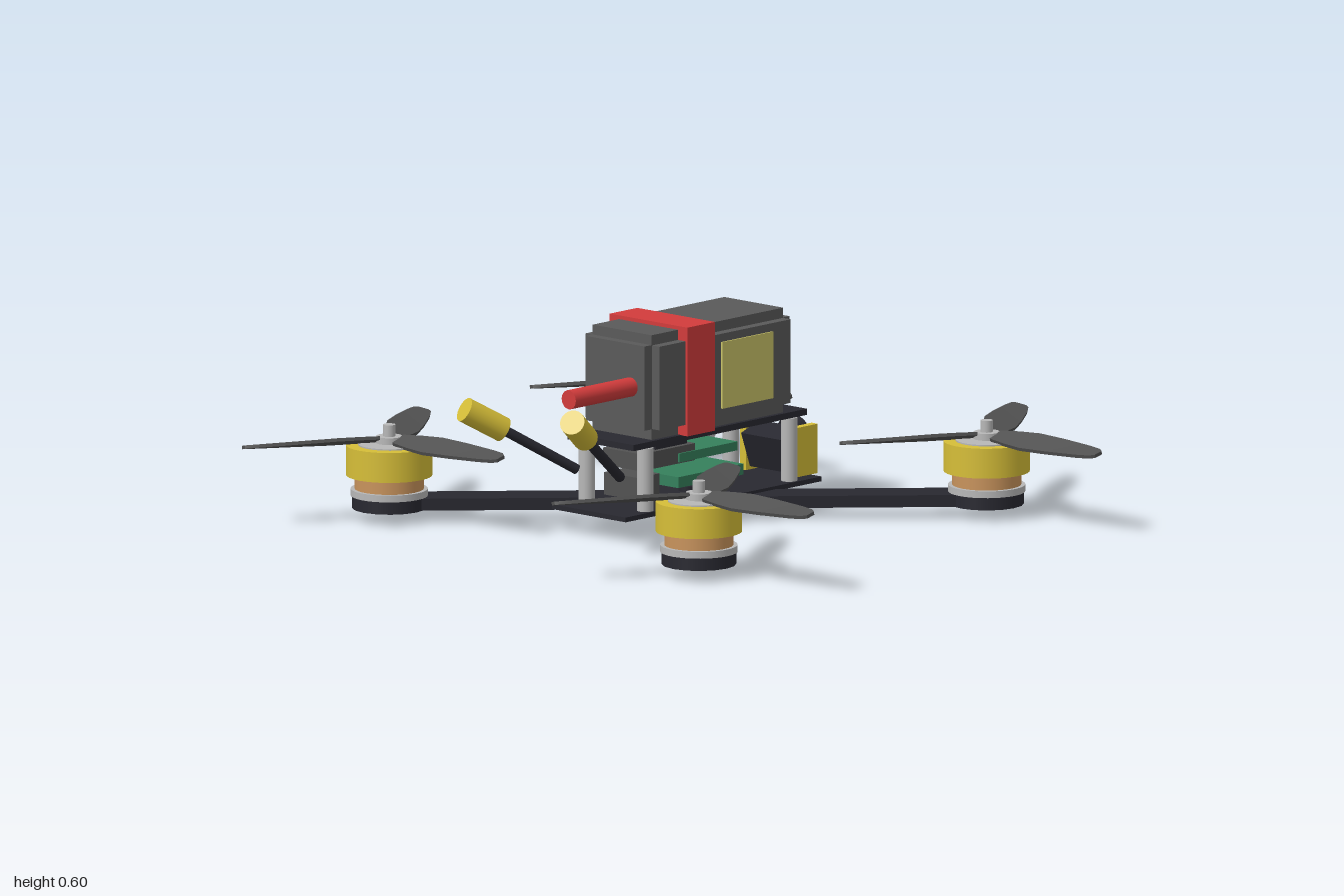
import * as THREE from 'three';

const mat = (name, color) => Object.assign(new THREE.MeshStandardMaterial({ color }), { name });
const M = {
  frame: mat('carbon black', 0x282830),
  grey: mat('battery grey', 0x5a5a5a),
  prop: mat('propeller grey', 0x525252),
  yellow: mat('yellow', 0xd6be38),
  silver: mat('silver', 0xb8b8b8),
  copper: mat('copper', 0xc8935c),
  green: mat('board green', 0x35805c),
  red: mat('strap red', 0xd23c3c),
  label: mat('label pale yellow', 0xcac468),
  lens: mat('lens black', 0x16161c),
};

function add(parent, name, geometry, material, x = 0, y = 0, z = 0) {
  const mesh = new THREE.Mesh(geometry, material);
  mesh.name = name;
  mesh.position.set(x, y, z);
  parent.add(mesh);
  return mesh;
}

// Box given by its y range and z range, centred on x
const slab = (p, name, m, w, y0, y1, z0, z1, x = 0) =>
  add(p, name, new THREE.BoxGeometry(w, y1 - y0, z1 - z0), m, x, (y0 + y1) / 2, (z0 + z1) / 2);

// Upright cylinder from y0 to y1
const post = (p, name, m, r, y0, y1, x = 0, z = 0, sides = 32) =>
  add(p, name, new THREE.CylinderGeometry(r, r, y1 - y0, sides), m, x, (y0 + y1) / 2, z);

// Cylinder between two points
function rod(p, name, m, r, a, b) {
  const from = new THREE.Vector3(...a), to = new THREE.Vector3(...b);
  const dir = to.clone().sub(from);
  const mesh = add(p, name, new THREE.CylinderGeometry(r, r, dir.length(), 20), m);
  mesh.position.copy(from).add(to).multiplyScalar(0.5);
  mesh.quaternion.setFromUnitVectors(new THREE.Vector3(0, 1, 0), dir.normalize());
  return mesh;
}

// Twisted blade: a segmented box whose width and pitch follow the radius
function bladeGeometry() {
  const stations = [[0.035, 0.05], [0.1, 0.076], [0.17, 0.096], [0.27, 0.088], [0.38, 0.068], [0.425, 0.052], [0.44, 0.03]];
  const geo = new THREE.BoxGeometry(1, 0.01, 1, stations.length - 1, 1, 1);
  const pos = geo.attributes.position;
  for (let i = 0; i < pos.count; i++) {
    const k = Math.round((pos.getX(i) + 0.5) * (stations.length - 1));
    const [r, width] = stations[k];
    const pitch = 0.36 - 0.3 * r;
    const w = pos.getZ(i) * width, t = pos.getY(i);
    pos.setXYZ(i, r, t * Math.cos(pitch) - w * Math.sin(pitch), w * Math.cos(pitch) + t * Math.sin(pitch));
  }
  geo.computeVertexNormals();
  return geo;
}

function createMotor(blade) {
  const g = new THREE.Group();
  g.name = 'motor';
  post(g, 'motorPad', M.frame, 0.108, 0.035, 0.072, 0, 0, 16);
  post(g, 'motorBase', M.silver, 0.112, 0.072, 0.092);
  post(g, 'motorWindings', M.copper, 0.1, 0.092, 0.136);
  post(g, 'motorBell', M.yellow, 0.125, 0.132, 0.22);
  post(g, 'motorCap', M.silver, 0.09, 0.219, 0.224);
  post(g, 'motorShaft', M.silver, 0.018, 0.22, 0.28, 0, 0, 16);
  const prop = new THREE.Group();
  prop.name = 'propeller';
  prop.position.y = 0.238;
  post(prop, 'propellerHub', M.prop, 0.038, -0.012, 0.008, 0, 0, 20).material = M.silver;
  for (let i = 0; i < 3; i++) add(prop, 'propellerBlade', blade, M.prop).rotation.y = (i * Math.PI * 2) / 3;
  g.add(prop);
  return g;
}

export function createModel() {
  const model = new THREE.Group();
  model.name = 'quadcopter';
  const body = new THREE.Group();
  body.name = 'body';
  body.position.x = -0.105;
  model.add(body);

  // Crossed arms with a motor at each end
  const blade = bladeGeometry();
  const reach = 0.61;
  for (const s of [1, -1]) {
    add(body, 'arm', new THREE.BoxGeometry(reach * 2 * Math.SQRT2, 0.035, 0.11), M.frame, 0, 0.0535, 0)
      .rotation.y = (s * Math.PI) / 4;
    for (const t of [1, -1]) {
      const motor = createMotor(blade);
      motor.position.set(s * reach, 0, t * reach);
      body.add(motor);
    }
  }

  // Frame plates, standoffs and centre bolt
  slab(body, 'bottomPlate', M.frame, 0.29, 0.066, 0.08, -0.41, 0.42);
  slab(body, 'topPlate', M.frame, 0.26, 0.266, 0.284, -0.365, 0.37);
  for (const x of [-0.115, 0.115])
    for (const z of [-0.305, 0.305]) post(body, 'standoff', M.silver, 0.024, 0.08, 0.266, x, z, 16);
  post(body, 'centreBoltHead', M.frame, 0.048, 0, 0.036, 0, 0, 16);
  post(body, 'centreBolt', M.frame, 0.028, 0.03, 0.096, 0, 0, 16);

  // Electronics stack
  slab(body, 'lowerBoard', M.green, 0.18, 0.118, 0.15, -0.138, 0.138);
  slab(body, 'upperBoard', M.green, 0.16, 0.19, 0.216, -0.125, 0.122);
  slab(body, 'receiver', M.prop, 0.15, 0.186, 0.236, 0.05, 0.28);
  slab(body, 'receiverMount', M.frame, 0.18, 0.245, 0.266, 0.1, 0.235);
  slab(body, 'transmitter', M.prop, 0.13, 0.1, 0.166, 0.19, 0.285);

  // Battery from three crossing boxes, which step its edges
  slab(body, 'batteryWide', M.grey, 0.292, 0.316, 0.562, -0.278, 0.278);
  slab(body, 'batteryTall', M.grey, 0.232, 0.284, 0.592, -0.279, 0.279);
  slab(body, 'batteryLong', M.grey, 0.231, 0.315, 0.563, -0.306, 0.308);
  slab(body, 'batteryStrap', M.red, 0.306, 0.283, 0.603, 0.05, 0.167);
  for (const s of [1, -1]) slab(body, 'batteryLabel', M.label, 0.006, 0.342, 0.538, -0.2, 0.016, s * 0.148);
  rod(body, 'batteryLead', M.red, 0.028, [0.06, 0.437, 0.3], [0.06, 0.437, 0.57]);

  // Antennas splayed at the front
  const antennas = [
    [[-0.085, 0.185, 0.38], [-0.18, 0.32, 0.59], [-0.23, 0.388, 0.7]],
    [[0.085, 0.185, 0.38], [0.205, 0.355, 0.655], [0.255, 0.425, 0.765]],
  ];
  for (const [root, cap, tip] of antennas) {
    rod(body, 'antennaRod', M.frame, 0.015, root, cap);
    rod(body, 'antennaCap', M.yellow, 0.037, cap, tip);
  }

  // Camera between two side plates at the back
  for (const s of [1, -1]) slab(body, 'cameraPlate', M.yellow, 0.024, 0.08, 0.225, -0.44, -0.33, s * 0.09);
  const camera = new THREE.Group();
  camera.name = 'camera';
  camera.position.set(0, 0.155, -0.365);
  camera.rotation.x = 0.35;
  slab(camera, 'cameraBody', M.frame, 0.155, -0.055, 0.055, -0.04, 0.04);
  rod(camera, 'lensBarrel', M.frame, 0.042, [0, 0, -0.03], [0, 0, -0.09]);
  rod(camera, 'lensRing', M.frame, 0.05, [0, 0, -0.075], [0, 0, -0.108]);
  rod(camera, 'lensGlass', M.lens, 0.036, [0, 0, -0.1], [0, 0, -0.112]);
  body.add(camera);

  return model;
}
